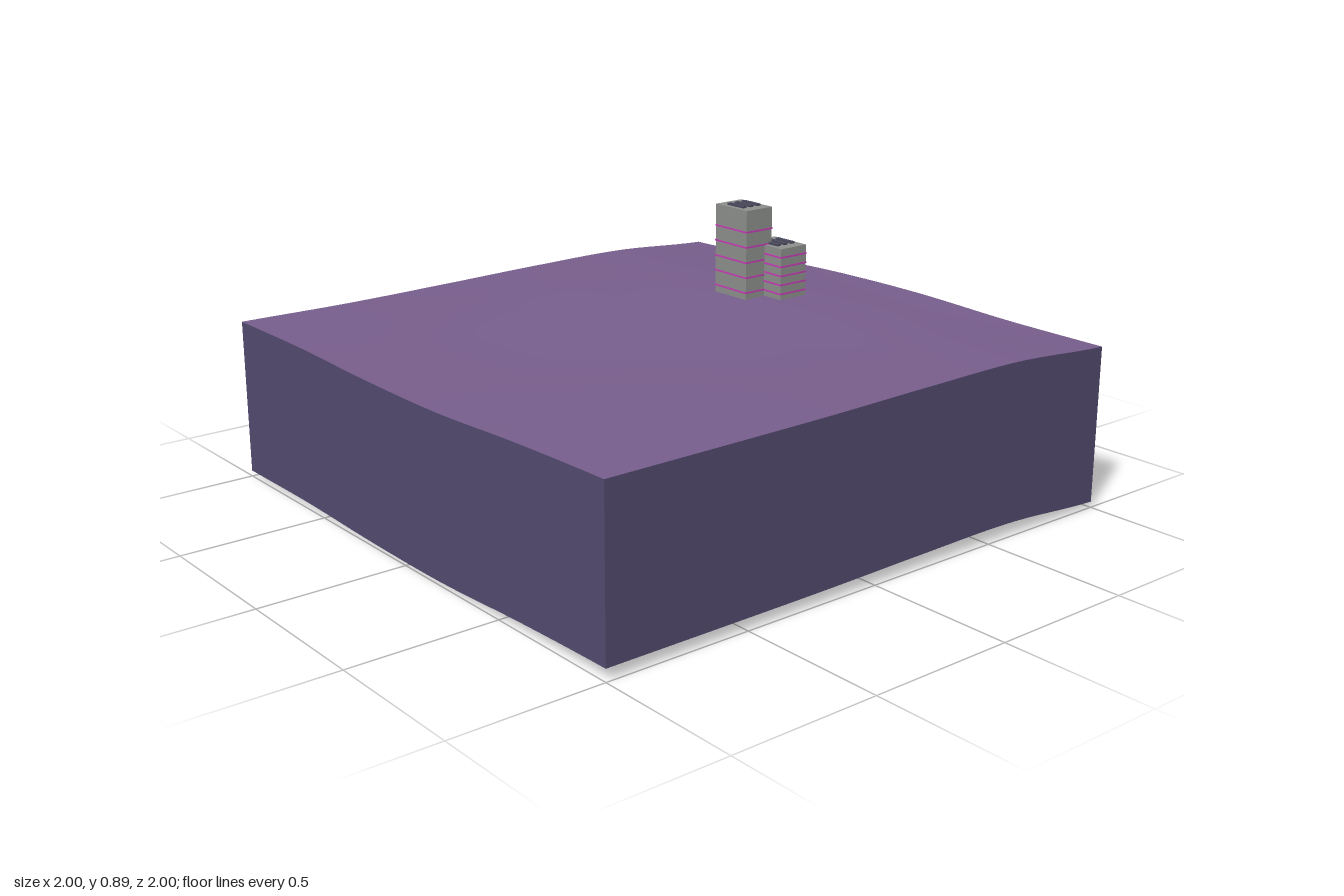
import * as THREE from 'three';

const DEPTH = 0.53; // height of the side walls
const SEG = 32;

const terrainMat = new THREE.MeshStandardMaterial({ color: 0x775e8c, side: THREE.DoubleSide });
terrainMat.name = 'terrainPurple';
const wallMat = new THREE.MeshStandardMaterial({ color: 0x534a6f, side: THREE.DoubleSide });
wallMat.name = 'wallViolet';
const towerMat = new THREE.MeshStandardMaterial({ color: 0x8c8f8c });
towerMat.name = 'towerGrey';
const stripeMat = new THREE.MeshStandardMaterial({ color: 0xc43cb4 });
stripeMat.name = 'stripeMagenta';
const ventMat = new THREE.MeshStandardMaterial({ color: 0x4a4a5e });
ventMat.name = 'ventDark';

// Evenly spaced heights along an edge, smoothed into a function of -1..1
function edge(heights) {
  const curve = new THREE.SplineCurve(heights.map((h, i) => new THREE.Vector2(i, h)));
  return (s) => curve.getPoint(THREE.MathUtils.clamp((s + 1) / 2, 0, 1)).y;
}
const front = edge([0.04, 0.04, 0.041, 0.046, 0.047, 0.02]);
const back = edge([0.02, 0.016, 0.02, 0.026, 0.026, 0]);
const low = edge([0.02, 0.021, 0.012, 0.012, 0.03, 0.04]); // x = -1, back to front
const high = edge([0, 0.014, 0.03, 0.033, 0.022, 0.02]); // x = +1, back to front

// Rolling ground: the four edge curves blended across the square
function ground(x, z) {
  const u = (x + 1) / 2, v = (z + 1) / 2;
  const { lerp } = THREE.MathUtils;
  const corners = lerp(lerp(back(-1), back(1), u), lerp(front(-1), front(1), u), v);
  return lerp(low(z), high(z), u) + lerp(back(x), front(x), v) - corners
    - 0.008 * (1 - x * x) * (1 - z * z);
}

function addMesh(parent, name, geometry, material, x = 0, y = 0, z = 0) {
  const mesh = new THREE.Mesh(geometry, material);
  mesh.name = name;
  mesh.position.set(x, y, z);
  parent.add(mesh);
  return mesh;
}

function terrainTop() {
  const geo = new THREE.PlaneGeometry(2, 2, SEG, SEG).rotateX(-Math.PI / 2);
  const p = geo.attributes.position;
  for (let i = 0; i < p.count; i++) p.setY(i, DEPTH + ground(p.getX(i), p.getZ(i)));
  geo.computeVertexNormals();
  return geo;
}

// One side wall whose upper and lower rims both follow the ground
function wall(turn) {
  const geo = new THREE.PlaneGeometry(2, 1, SEG, 1).translate(0, 0.5, 1).rotateY(turn);
  const p = geo.attributes.position;
  for (let i = 0; i < p.count; i++) {
    p.setY(i, p.getY(i) * DEPTH + ground(p.getX(i), p.getZ(i)));
  }
  return geo;
}

function tower(name, x, z, top, stripes) {
  const g = new THREE.Group();
  g.name = name;
  const w = 0.116, d = 0.16, base = 0.55;
  addMesh(g, 'towerBody', new THREE.BoxGeometry(w, top - base, d), towerMat, x, (top + base) / 2, z);
  // Glowing bands around the body
  for (const y of stripes) {
    addMesh(g, 'lightBand', new THREE.BoxGeometry(w + 0.003, 0.006, d + 0.003), stripeMat, x, y, z);
  }
  // Roof vents
  for (const dx of [-0.032, 0, 0.032]) {
    addMesh(g, 'roofVent', new THREE.BoxGeometry(0.016, 0.008, 0.08), ventMat, x + dx, top + 0.003, z);
  }
  return g;
}

export function createModel() {
  const model = new THREE.Group();
  model.name = 'terrainTile';
  addMesh(model, 'ground', terrainTop(), terrainMat);
  ['frontWall', 'leftWall', 'backWall', 'rightWall'].forEach((name, i) =>
    addMesh(model, name, wall(i * Math.PI / 2), wallMat));
  model.add(tower('tallTower', 0.498, -0.165, 0.885, [0.81, 0.757, 0.703, 0.65, 0.597]));
  model.add(tower('shortTower', 0.582, -0.08, 0.755, [0.725, 0.692, 0.66, 0.628, 0.596]));
  return model;
}
